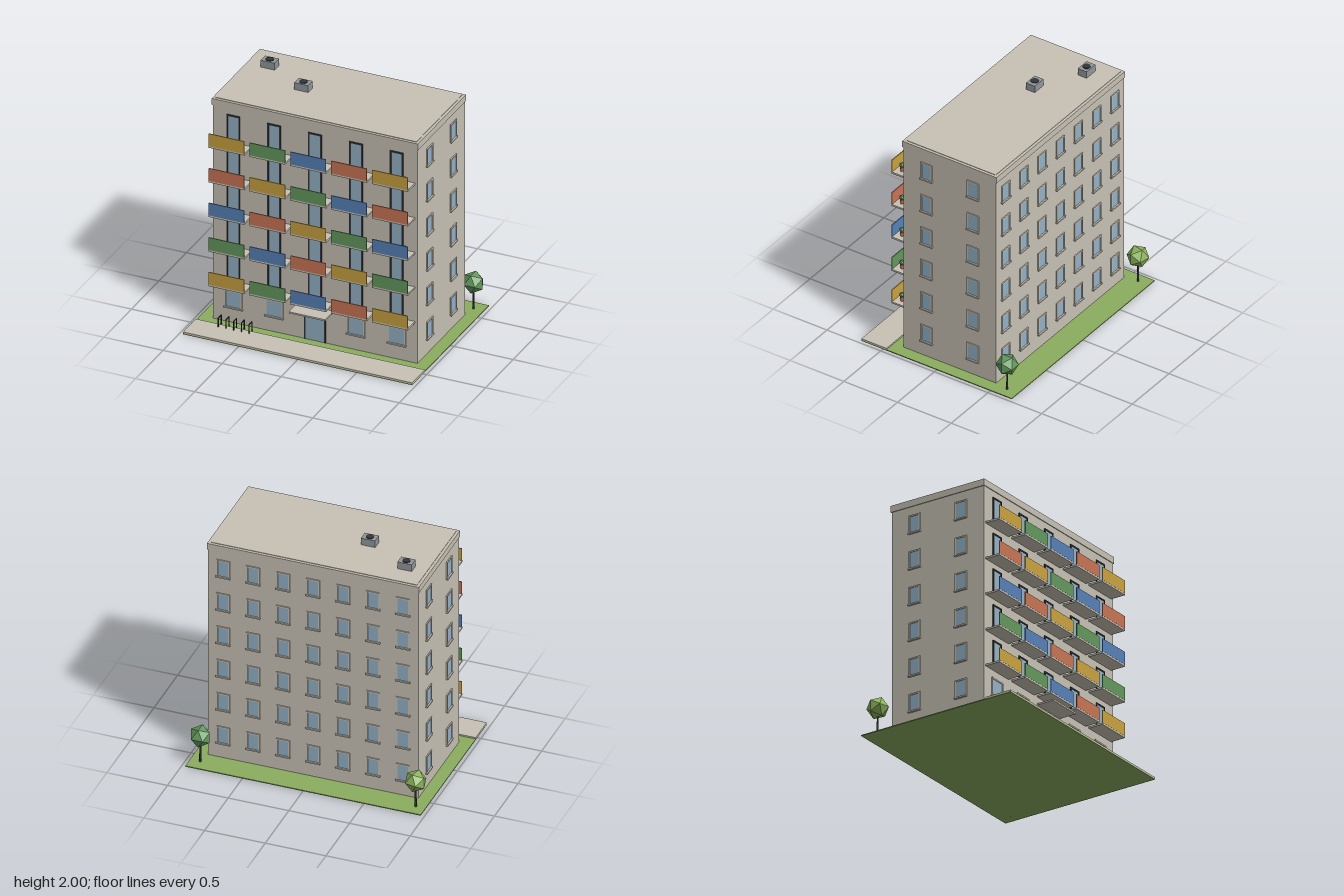
import * as THREE from 'three';

const mat = (name, color) => {
  const m = new THREE.MeshStandardMaterial({ color });
  m.name = name;
  return m;
};

export function createModel() {
  const concrete = mat('concrete', 0xc8c2b5);
  const glass = mat('glass', 0x94b2c6);
  const dark = mat('dark metal', 0x33363b);
  const yellow = mat('yellow', 0xc9a240);
  const green = mat('green', 0x63985c);
  const blue = mat('blue', 0x5680b8);
  const red = mat('terracotta', 0xc87455);
  const grey = mat('grey metal', 0x92979b);
  const grass = mat('grass', 0x8bac5f);
  const leaf = mat('light leaf', 0x8cb35c);
  // faceted foliage comes from non-indexed icosahedra

  const model = new THREE.Group();
  model.name = 'apartmentBlock';

  const add = (parent, name, geo, material, x = 0, y = 0, z = 0) => {
    const m = new THREE.Mesh(geo, material);
    m.name = name;
    m.position.set(x, y, z);
    parent.add(m);
    return m;
  };
  // box given by its min and max corners
  const box = (parent, name, material, [x0, x1], [y0, y1], [z0, z1]) =>
    add(parent, name, new THREE.BoxGeometry(x1 - x0, y1 - y0, z1 - z0), material,
      (x0 + x1) / 2, (y0 + y1) / 2, (z0 + z1) / 2);

  const FLOOR = 0.3025, FLOORS = 6;
  const WX = 0.866, ZF = 0.379, ZB = -0.484, ZC = (ZF + ZB) / 2;

  // ground
  box(model, 'lawn', grass, [-0.97, 0.97], [0, 0.008], [-0.7, 0.7]);
  box(model, 'pavement', concrete, [-0.97, 0.97], [0.008, 0.02], [0.467, 0.7]);

  // main block and roof edge
  box(model, 'walls', concrete, [-WX, WX], [0.008, 1.88], [ZB, ZF]);
  box(model, 'roofEdge', concrete, [-0.873, 0.873], [1.875, 1.93], [ZB - 0.007, ZF + 0.007]);
  box(model, 'roofDeck', concrete, [-0.85, 0.85], [1.93, 1.934], [ZB + 0.016, ZF - 0.016]);

  // glazed opening with raised frame bars, facing local +z; y is the glass bottom
  const opening = (name, x, y, z, turn, w, h, frame, sillWidth) => {
    const g = new THREE.Group();
    g.name = name;
    g.position.set(x, y, z);
    g.rotation.y = turn;
    const b = 0.012, d = [0, 0.009], hw = w / 2;
    box(g, 'glass', glass, [-hw, hw], [0, h], [0, 0.004]);
    for (const s of [-1, 1]) {
      const c = s * (hw + b / 2);
      box(g, 'frameSide', frame, [c - b / 2, c + b / 2], [0, h + b], d);
    }
    box(g, 'frameTop', frame, [-hw, hw], [h, h + b], d);
    if (sillWidth) box(g, 'sill', concrete, [-sillWidth / 2, sillWidth / 2], [-0.012, 0], [0, 0.017]);
    model.add(g);
  };

  const columns = [-2, -1, 0, 1, 2].map((i) => i * 0.346);

  // ground floor front: windows, entrance and canopy
  for (const x of columns) {
    if (x !== 0) opening('frontWindow', x, 0.143, ZF, 0, 0.127, 0.135, concrete, 0.16);
  }
  opening('entranceDoor', 0, 0.01, ZF, 0, 0.158, 0.25, dark, 0);
  box(model, 'canopy', concrete, [-0.153, 0.153], [0.287, 0.301], [ZF, 0.53]);

  // side and back windows
  for (let f = 0; f < FLOORS; f++) {
    const y = 0.143 + f * FLOOR;
    for (const dz of [-0.216, 0.216]) {
      for (const s of [-1, 1]) {
        opening('sideWindow', s * WX, y, ZC + dz, s * Math.PI / 2, 0.085, 0.134, concrete, 0.115);
      }
    }
    for (let i = -3; i <= 3; i++) {
      opening('backWindow', i * 0.247, y, ZB, Math.PI, 0.085, 0.134, concrete, 0.12);
    }
  }

  // balconies with doors, coloured panels and a plant on the end column
  const panels = [yellow, green, blue, red];
  for (let f = 1; f < FLOORS; f++) {
    const y = 0.355 + (f - 1) * FLOOR;
    columns.forEach((x, c) => {
      opening('balconyDoor', x, y + 0.015, ZF, 0, 0.09, 0.228, dark, 0);
      box(model, 'balconySlab', concrete, [x - 0.152, x + 0.152], [y, y + 0.015], [ZF, 0.508]);
      box(model, 'balconyPanel', panels[(c + f - 1) % 4],
        [x - 0.15, x + 0.15], [y + 0.015, y + 0.123], [0.501, 0.509]);
    });
    add(model, 'plantPot', new THREE.CylinderGeometry(0.015, 0.011, 0.038, 8), red, 0.79, y + 0.034, 0.446);
    add(model, 'plant', new THREE.IcosahedronGeometry(0.023, 0), green, 0.79, y + 0.071, 0.446);
  }

  // roof units with fans
  for (const [x, z] of [[-0.683, -0.263], [-0.297, -0.045]]) {
    box(model, 'roofUnit', grey, [x - 0.059, x + 0.059], [1.93, 1.994], [z - 0.041, z + 0.041]);
    add(model, 'roofFan', new THREE.CylinderGeometry(0.032, 0.032, 0.008, 10), dark, x, 1.996, z);
  }

  // bicycle hoops
  for (let i = 0; i < 5; i++) {
    const x = -0.76 + i * 0.065, r = 0.0035;
    for (const z of [0.457, 0.509]) {
      box(model, 'hoopLeg', dark, [x - r, x + r], [0.008, 0.1], [z - r, z + r]);
    }
    box(model, 'hoopBar', dark, [x - r, x + r], [0.1 - 2 * r, 0.1], [0.457, 0.509]);
  }

  // trees
  for (const [x, crown, turn] of [[-0.89, leaf, 1.35], [0.885, green, Math.PI / 2]]) {
    add(model, 'trunk', new THREE.CylinderGeometry(0.007, 0.009, 0.19, 6), dark, x, 0.095, -0.6);
    add(model, 'crown', new THREE.IcosahedronGeometry(0.09, 0), crown, x, 0.24, -0.6).rotation.y = turn;
  }

  return model;
}
